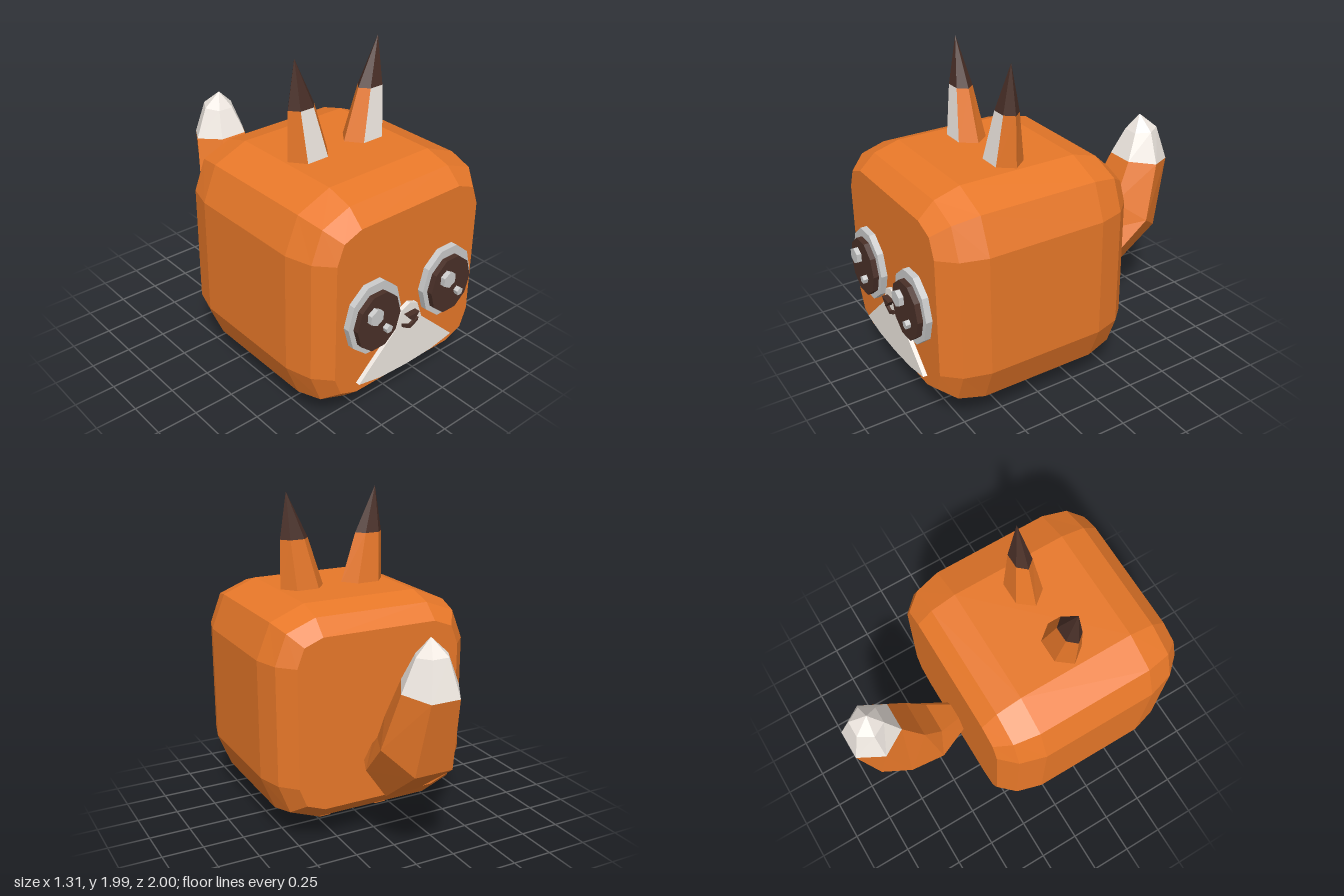
import * as THREE from 'three';

const material = (color) => new THREE.MeshStandardMaterial({ color, flatShading: true });
const orange = material(0xe87829);
const dark = material(0x4a3028);
const cream = material(0xf0e9e2);
const grey = material(0xcccccc);

// Skin between rings of points; rings run counter-clockwise seen from the far end.
function loft(rings, { startCap = false, endCap = false, keep = () => true } = {}) {
  const n = rings[0].length;
  const index = [];
  for (let r = 0; r < rings.length - 1; r++) {
    for (let i = 0; i < n; i++) {
      if (!keep(i)) continue;
      const a = r * n + i, b = r * n + (i + 1) % n;
      index.push(a, b, b + n, a, b + n, a + n);
    }
  }
  const last = (rings.length - 1) * n;
  for (let i = 1; i < n - 1; i++) {
    if (startCap) index.push(0, i + 1, i);
    if (endCap) index.push(last, last + i, last + i + 1);
  }
  const geometry = new THREE.BufferGeometry();
  geometry.setAttribute('position', new THREE.Float32BufferAttribute(rings.flat(2), 3));
  geometry.setIndex(index);
  const flat = geometry.toNonIndexed();
  flat.computeVertexNormals();
  return flat;
}

function add(parent, name, geometry, mat, x = 0, y = 0, z = 0) {
  const mesh = new THREE.Mesh(geometry, mat);
  mesh.name = name;
  mesh.position.set(x, y, z);
  parent.add(mesh);
  return mesh;
}

// Flat polygonal disc facing +z, its back on z = 0
function disc(rx, ry, depth, sides, start = 0) {
  return new THREE.CylinderGeometry(1, 1, depth, sides, 1, false, start)
    .rotateX(Math.PI / 2).scale(rx, ry, 1).translate(0, 0, depth / 2);
}

// Flat plate from an outline
function plate(points, depth) {
  const shape = new THREE.Shape(points.map(([x, y]) => new THREE.Vector2(x, y)));
  return new THREE.ExtrudeGeometry(shape, { depth, bevelEnabled: false });
}

// Twelve-point rounded square of the body
function bodyRing(z, edge, corner) {
  const s = 0.36, ring = [];
  for (let q = 0; q < 4; q++) {
    const c = [1, 0, -1, 0][q], d = [0, 1, 0, -1][q];
    for (const [x, y] of [[edge, s], [corner, corner], [s, edge]]) {
      ring.push([x * c - y * d, 0.757 + x * d + y * c, z]);
    }
  }
  return ring;
}

const hexAngles = [0, 1, 2, 3, 4, 5].map((k) => k * Math.PI / 3);
const SIN60 = Math.sin(Math.PI / 3);

// Horizontal hexagon of an ear
const earRing = (x, y, rx, rz) =>
  hexAngles.map((a) => [x + rx * Math.cos(a), y, 0.29 - rz * Math.sin(a) / SIN60]);

// Tilted hexagon of the tail, between a top and a bottom point in (z, y)
const tailRing = ([tz, ty, bz, by, w]) => hexAngles.map((a) => {
  const t = Math.sin(a) / SIN60 / 2;
  return [-w * Math.cos(a), (ty + by) / 2 + (ty - by) * t, (tz + bz) / 2 + (tz - bz) * t];
});

export function createModel() {
  const model = new THREE.Group();
  model.name = 'blockFox';

  // Body
  add(model, 'body', loft([
    bodyRing(-0.32, 0.52, 0.475), bodyRing(-0.225, 0.61, 0.54), bodyRing(-0.07, 0.655, 0.57),
    bodyRing(0.65, 0.655, 0.57), bodyRing(0.805, 0.61, 0.54), bodyRing(0.9, 0.52, 0.475),
  ], { startCap: true, endCap: true }), orange);

  for (const [side, s] of [['left', 1], ['right', -1]]) {
    // Ears: orange shell, pale front strip, dark tip
    const ear = new THREE.Group();
    ear.name = side + 'Ear';
    model.add(ear);
    const base = earRing(s * 0.2025, 1.405, 0.142, 0.09);
    const middle = earRing(s * 0.25, 1.71, 0.09, 0.052);
    const tip = earRing(s * 0.295, 1.985, 0.001, 0.001);
    add(ear, 'earShell', loft([base, middle], { keep: (i) => i !== 4 }), orange);
    add(ear, 'earInner', loft([base, middle], { keep: (i) => i === 4 }), cream);
    add(ear, 'earTip', loft([middle, tip], { endCap: true }), dark);

    // Eyes, with the glints on the same side of both
    const eye = new THREE.Group();
    eye.name = side + 'Eye';
    eye.position.set(s * 0.276, 0.72, 0.9);
    model.add(eye);
    add(eye, 'eyeRing', disc(0.191, 0.223, 0.038, 10, Math.PI / 2), grey);
    add(eye, 'pupil', disc(0.156, 0.179, 0.036, 10, Math.PI / 2), dark, 0, -0.01, 0.035);
    add(eye, 'largeGlint', disc(0.05, 0.05, 0.03, 6), grey, -0.044, 0.05, 0.07);
    add(eye, 'smallGlint', disc(0.025, 0.025, 0.03, 5, Math.PI), grey, 0.05, -0.065, 0.07);

    // Legs
    for (const [end, z] of [['Front', 0.49], ['Back', 0.09]]) {
      add(model, side + end + 'Leg', new THREE.CylinderGeometry(0.095, 0.08, 0.12, 7),
        orange, s * 0.197, 0.06, z);
    }
  }

  // Muzzle, nose and mouth
  add(model, 'muzzle', plate([
    [0, 0.685], [-0.06, 0.66], [-0.1, 0.55], [-0.365, 0.302], [-0.2, 0.27], [0, 0.262],
    [0.2, 0.27], [0.365, 0.302], [0.1, 0.55], [0.06, 0.66],
  ], 0.026), cream, 0, 0, 0.9);
  add(model, 'nose', plate([[-0.043, 0.628], [0, 0.58], [0.043, 0.628]], 0.04), dark, 0, 0, 0.922);
  add(model, 'mouth', plate([
    [-0.058, 0.572], [-0.058, 0.552], [0, 0.522], [0.058, 0.552], [0.058, 0.572], [0, 0.545],
  ], 0.02), dark, 0, 0, 0.922);

  // Tail: top z, top y, bottom z, bottom y, half width
  const rings = [
    [-0.25, 0.545, -0.25, 0.41, 0.07],
    [-0.32, 0.59, -0.32, 0.4, 0.105],
    [-0.465, 0.69, -0.57, 0.37, 0.2],
    [-0.58, 0.87, -0.905, 0.625, 0.235],
    [-0.695, 1.11, -1.0, 1.065, 0.177],
    [-0.77, 1.27, -0.94, 1.28, 0.1],
    [-0.839, 1.37, -0.841, 1.37, 0.001],
  ].map(tailRing);
  const tail = new THREE.Group();
  tail.name = 'tail';
  model.add(tail);
  add(tail, 'tailBrush', loft(rings.slice(0, 5), { startCap: true }), orange);
  add(tail, 'tailTip', loft(rings.slice(4), { endCap: true }), cream);

  return model;
}
